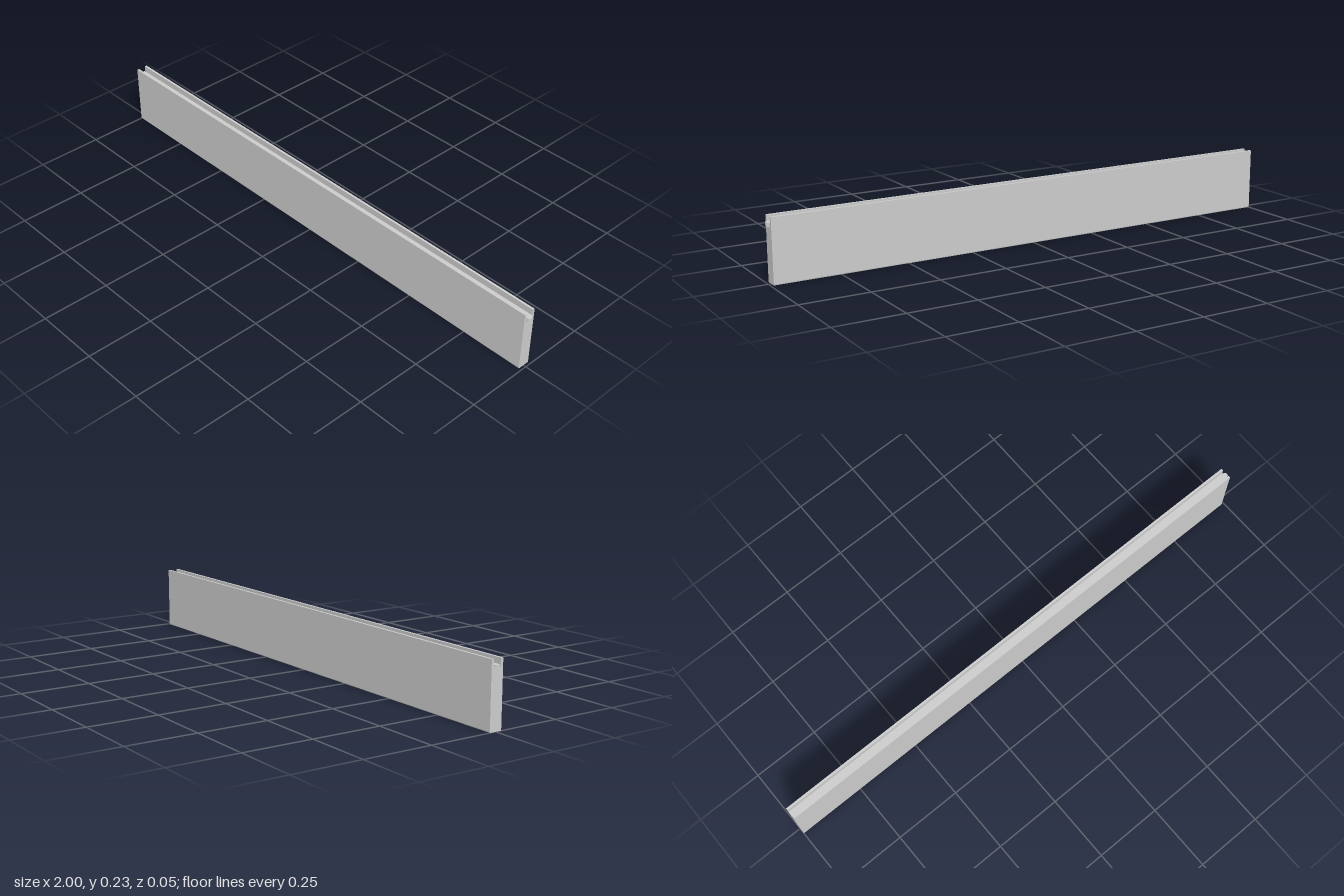
import * as THREE from 'three';

const X0 = -1, X1 = 0.99, HALF = 0.023; // beam ends and half thickness
const BASE_H = 0.003, BODY_TOP = 0.194, TOP = 0.229;

export function createModel() {
  const group = new THREE.Group();
  const material = new THREE.MeshStandardMaterial({ color: 0xcccccc });

  const add = (name, geometry) => {
    const mesh = new THREE.Mesh(geometry, material);
    mesh.name = name;
    group.add(mesh);
    return mesh;
  };

  // Extrude a (z, y) cross-section along the beam
  const alongBeam = (points) => {
    const shape = new THREE.Shape(points.map(([z, y]) => new THREE.Vector2(-z, y)));
    const geometry = new THREE.ExtrudeGeometry(shape, { depth: X1 - X0, bevelEnabled: false });
    return geometry.rotateY(Math.PI / 2).translate(X0, 0, 0);
  };

  // Solid panel standing on a thin, slightly chamfered foot
  add('panel', alongBeam([[-HALF, BASE_H], [HALF, BASE_H], [HALF, BODY_TOP], [-HALF, BODY_TOP]]));
  const foot = HALF - 0.001;
  add('footStrip', alongBeam([[-foot, 0], [foot, 0], [HALF, BASE_H], [-HALF, BASE_H]]));

  // Two stepped rails forming the channel along the top
  for (const side of [1, -1]) {
    const section = [
      [HALF, BODY_TOP], [HALF, TOP], [0.0145, TOP],
      [0.0145, 0.206], [0.0115, 0.206], [0.0115, BODY_TOP],
    ].map(([z, y]) => [z * side, y]);
    add(side > 0 ? 'frontRail' : 'backRail', alongBeam(section));
  }

  // Tongue in the channel with a rounded end that projects past the beam
  const r = 0.0107;
  const outline = new THREE.Shape();
  outline.moveTo(X0, -r);
  outline.lineTo(1 - r, -r);
  outline.absarc(1 - r, 0, r, -Math.PI / 2, Math.PI / 2, false);
  outline.lineTo(X0, r);
  outline.closePath();
  const tongue = new THREE.ExtrudeGeometry(outline, {
    depth: 0.209 - BODY_TOP, bevelEnabled: false, curveSegments: 16,
  });
  add('tongue', tongue.rotateX(-Math.PI / 2).translate(0, BODY_TOP, 0));

  return group;
}
